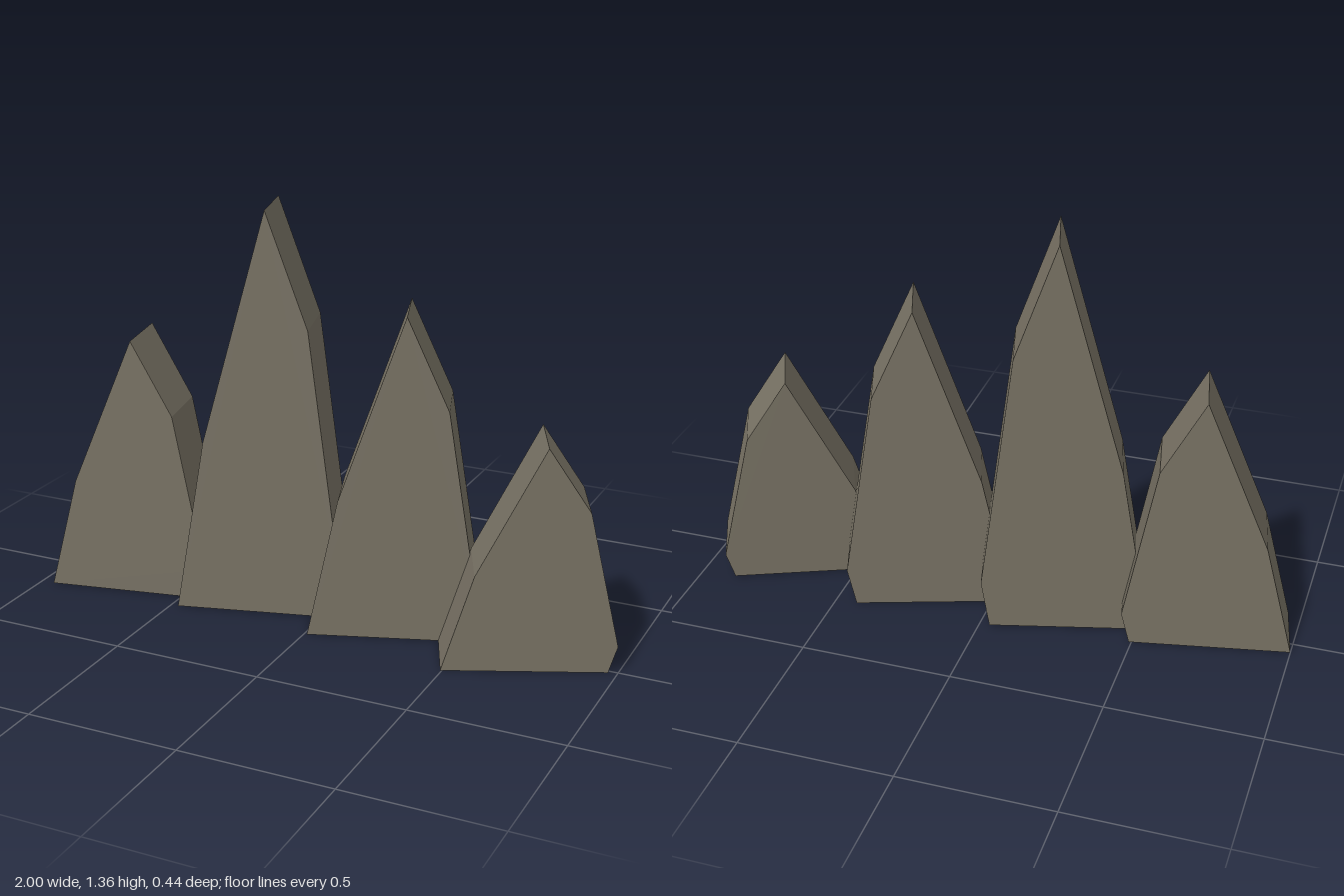
import * as THREE from 'three';

const WIDTH = 0.546;
const DEPTH = 0.224;

// Shared shard outline, as fractions of width and height
const OUTLINE = [[0, 0], [0.95, 0], [1, 0.12], [0.815, 0.72], [0.567, 1], [0.18, 0.432]];

// Front left foot (x, z), height and turn in degrees for each shard
const SHARDS = [
  { x: -0.955, z: 0.173, height: 0.89, turn: 11.5 },
  { x: -0.475, z: 0.153, height: 1.36, turn: 15.2 },
  { x: 0.01, z: 0.165, height: 1.075, turn: 19 },
  { x: 0.495, z: 0.219, height: 0.735, turn: 23.5 },
];

function shardGeometry(height) {
  const shape = new THREE.Shape(OUTLINE.map(([u, v]) => new THREE.Vector2(u * WIDTH, v * height)));
  const geometry = new THREE.ExtrudeGeometry(shape, { depth: DEPTH, bevelEnabled: false });
  return geometry.translate(0, 0, -DEPTH); // front face at local z = 0
}

export function createModel() {
  const model = new THREE.Group();
  model.name = 'rockShards';
  const stone = new THREE.MeshStandardMaterial({ color: 0x787264 });
  stone.name = 'stone';

  // Row of overlapping slabs, each turned a little further than the last
  SHARDS.forEach(({ x, z, height, turn }, i) => {
    const shard = new THREE.Mesh(shardGeometry(height), stone);
    shard.name = `rockShard${i + 1}`;
    shard.position.set(x, 0, z);
    shard.rotation.y = THREE.MathUtils.degToRad(turn);
    model.add(shard);
  });
  return model;
}
